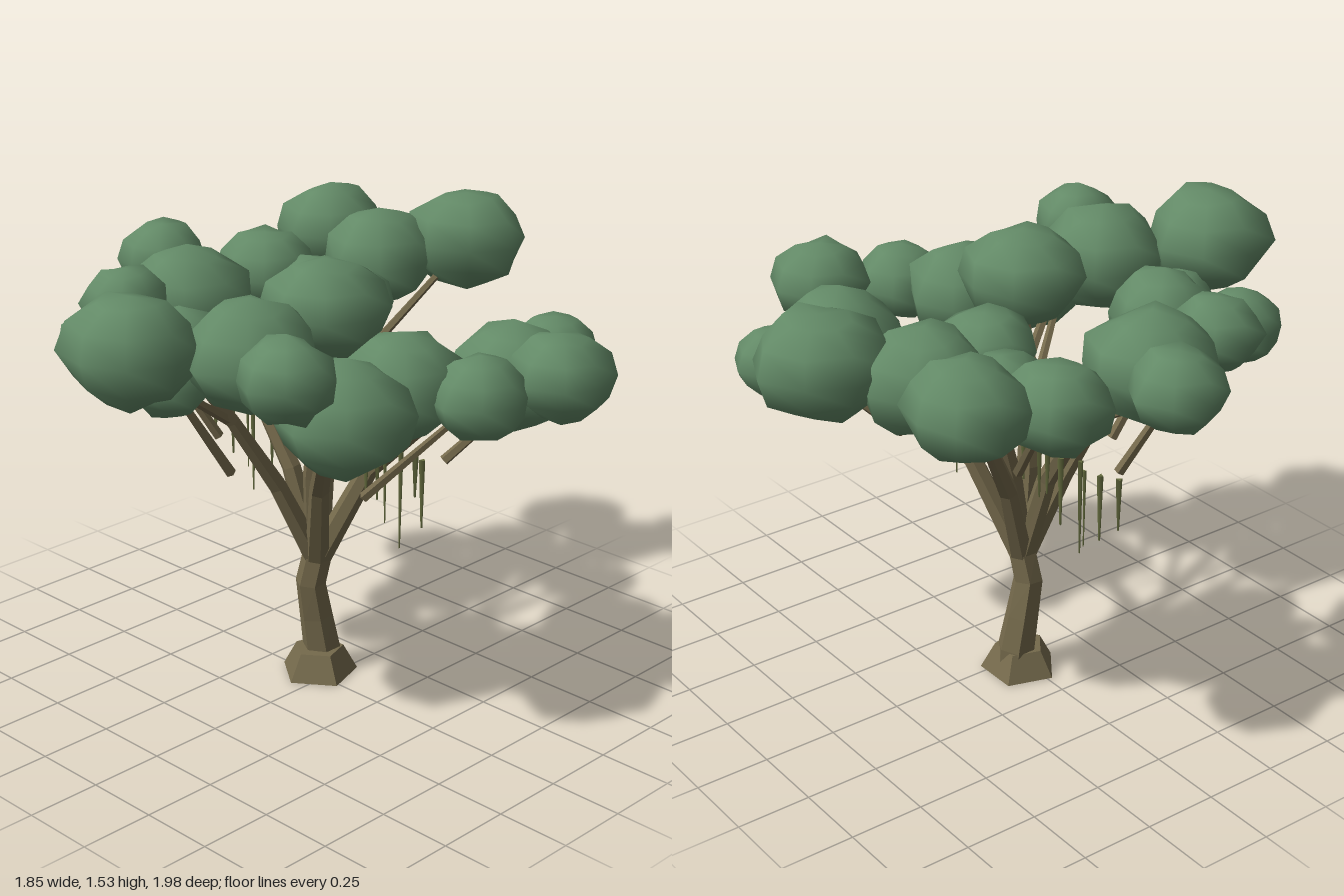
import * as THREE from 'three';
import { mergeVertices } from 'three/addons/utils/BufferGeometryUtils.js';

const mat = (name, color) => {
  const m = new THREE.MeshStandardMaterial({ color });
  m.name = name;
  return m;
};

// Small seeded generator for the uneven leaf clumps
function seeded(seed) {
  return () => {
    seed = (seed * 16807) % 2147483647;
    return seed / 2147483647;
  };
}

// Faceted tapering limb: rings[i] = [x, y, z, radius]
function limbGeometry(rings, sides = 6) {
  const centres = rings.map(r => new THREE.Vector3(r[0], r[1], r[2]));
  const up = new THREE.Vector3(0, 1, 0);
  const pos = [], index = [];
  rings.forEach((r, i) => {
    const a = centres[Math.max(i - 1, 0)], b = centres[Math.min(i + 1, rings.length - 1)];
    const q = new THREE.Quaternion().setFromUnitVectors(up, b.clone().sub(a).normalize());
    for (let s = 0; s < sides; s++) {
      const t = s / sides * Math.PI * 2;
      const p = new THREE.Vector3(Math.sin(t) * r[3], 0, Math.cos(t) * r[3]);
      p.applyQuaternion(q).add(centres[i]);
      pos.push(p.x, p.y, p.z);
    }
  });
  for (let i = 0; i < rings.length - 1; i++) {
    for (let s = 0; s < sides; s++) {
      const a = i * sides + s, b = i * sides + (s + 1) % sides;
      index.push(a, b, b + sides, a, b + sides, a + sides);
    }
  }
  const last = (rings.length - 1) * sides;
  for (let s = 1; s < sides - 1; s++) {
    index.push(0, s + 1, s, last, last + s, last + s + 1);
  }
  const g = new THREE.BufferGeometry();
  g.setAttribute('position', new THREE.Float32BufferAttribute(pos, 3));
  g.setIndex(index);
  const flat = g.toNonIndexed();
  flat.computeVertexNormals();
  return flat;
}

// Smooth eight-sided clump with uneven vertices
function clumpGeometry(r, ry, rand) {
  let g = new THREE.SphereGeometry(1, 8, 6);
  g.deleteAttribute('uv');
  g.deleteAttribute('normal');
  g = mergeVertices(g, 1e-3);
  const p = g.attributes.position;
  for (let i = 0; i < p.count; i++) {
    const k = 0.93 + rand() * 0.17;
    p.setXYZ(i, p.getX(i) * r * k, p.getY(i) * ry * k, p.getZ(i) * r * k);
  }
  g.computeVertexNormals();
  return g;
}

export function createModel() {
  const tree = new THREE.Group();
  tree.name = 'tree';
  const bark = mat('bark', 0x756a4c);
  const leaf = mat('leaf', 0x638a67);
  const vine = mat('vine', 0x646b3e);
  const add = (parent, name, geometry, material) => {
    const m = new THREE.Mesh(geometry, material);
    m.name = name;
    parent.add(m);
    return m;
  };
  const group = name => {
    const g = new THREE.Group();
    g.name = name;
    tree.add(g);
    return g;
  };

  // Five-sided root flare and crooked trunk
  const flare = new THREE.CylinderGeometry(0.085, 0.133, 0.09, 5).toNonIndexed();
  flare.computeVertexNormals();
  add(tree, 'rootFlare', flare, bark).position.set(-0.049, 0.053, -0.026);
  add(tree, 'trunk', limbGeometry([
    [-0.05, 0.01, -0.045, 0.07], [-0.055, 0.1, -0.045, 0.065], [-0.06, 0.22, -0.025, 0.058],
    [-0.06, 0.35, 0, 0.052], [-0.04, 0.45, -0.01, 0.05], [-0.035, 0.52, -0.01, 0.035],
  ]), bark);

  // Main boughs: two bend points, then the tip
  const boughs = group('boughs');
  const fork = [-0.04, 0.43, -0.01];
  const boughEnds = [
    [[0.1, 0.77, -0.11], [0.3, 1.0, -0.25], [0.49, 1.12, -0.35]],
    [[0.08, 0.75, 0.1], [0.24, 0.98, 0.23], [0.44, 1.13, 0.35]],
    [[-0.13, 0.75, 0.02], [-0.27, 1.0, 0.05], [-0.46, 1.22, 0.1]],
    [[-0.09, 0.72, 0.12], [-0.13, 0.98, 0.28], [-0.17, 1.2, 0.44]],
    [[-0.11, 0.74, -0.12], [-0.2, 0.98, -0.26], [-0.3, 1.24, -0.48]],
    [[-0.02, 0.75, 0.03], [0.03, 1.0, 0.06], [0.09, 1.3, 0.1]],
    [[-0.07, 0.76, -0.07], [-0.1, 1.0, -0.15], [-0.11, 1.2, -0.21]],
  ];
  for (const [a, b, c] of boughEnds) {
    add(boughs, 'bough', limbGeometry([
      [...fork, 0.042], [...a, 0.033], [...b, 0.025], [...c, 0.015],
    ]), bark);
  }

  // Thinner branches reaching the outer clumps
  const branches = group('branches');
  const branchEnds = [
    [[-0.35, 0.83, 0.14], [-0.48, 1.22, 0.34]],
    [[0.28, 0.785, 0.1], [0.62, 1.13, 0.05]],
    [[0.31, 0.82, -0.24], [0.48, 1.08, -0.5]],
    [[-0.12, 0.81, 0.3], [-0.16, 1.18, 0.53]],
    [[0.09, 0.89, 0.12], [0.3, 1.2, 0.42]],
    [[0.28, 0.99, -0.23], [0.74, 1.2, -0.25]],
    [[0.12, 0.8, 0.05], [0.44, 1.15, 0.09]],
    [[-0.25, 0.98, 0.05], [-0.75, 1.3, 0]],
    [[-0.19, 0.85, -0.14], [-0.56, 1.28, -0.29]],
    [[-0.2, 0.95, -0.25], [-0.56, 1.32, -0.6]],
    [[-0.19, 0.95, -0.26], [-0.11, 1.32, -0.76]],
    [[-0.14, 0.97, 0.27], [-0.02, 1.3, 0.75]],
    [[0.24, 0.98, 0.23], [0.42, 1.3, 0.56]],
    [[0.3, 1.0, -0.26], [0.43, 1.13, -0.6]],
  ];
  for (const [a, b] of branchEnds) {
    add(branches, 'branch', limbGeometry([[...a, 0.018], [...b, 0.011]], 5), bark);
  }

  // Leaf clumps: x, y, z, horizontal radius, vertical radius
  const canopy = group('canopy');
  const rand = seeded(77);
  const clumps = [
    [-0.095, 1.375, -0.79, 0.205, 0.168], [-0.57, 1.36, -0.61, 0.18, 0.15],
    [-0.275, 1.32, -0.545, 0.195, 0.16], [0.44, 1.14, -0.625, 0.14, 0.115],
    [0.49, 1.13, -0.355, 0.21, 0.17], [0.755, 1.22, -0.255, 0.165, 0.135],
    [0.655, 1.19, 0, 0.15, 0.13], [0.44, 1.2, 0.1, 0.19, 0.155],
    [0.1, 1.37, 0.095, 0.2, 0.155], [0.45, 1.17, 0.36, 0.205, 0.17],
    [0.43, 1.335, 0.585, 0.147, 0.13], [0.17, 1.32, 0.48, 0.21, 0.17],
    [-0.01, 1.37, 0.785, 0.207, 0.168], [-0.175, 1.23, 0.455, 0.175, 0.15],
    [-0.07, 1.21, 0.6, 0.125, 0.11], [-0.41, 1.25, 0.58, 0.135, 0.115],
    [-0.51, 1.31, 0.385, 0.14, 0.12], [-0.51, 1.27, 0.12, 0.215, 0.17],
    [-0.77, 1.325, 0, 0.15, 0.13], [-0.565, 1.27, -0.285, 0.17, 0.14],
    [-0.33, 1.22, -0.31, 0.16, 0.135], [-0.115, 1.27, -0.215, 0.16, 0.13],
    [-0.42, 1.2, 0.2, 0.14, 0.11],
  ];
  for (const [x, y, z, r, ry] of clumps) {
    add(canopy, 'leafClump', clumpGeometry(r, ry, rand), leaf).position.set(x, y, z);
  }

  // Hanging vines: x, z, length, top radius
  const vines = group('vines');
  const hanging = [
    [-0.52, 0, 0.18, 0.012], [-0.465, -0.03, 0.23, 0.012], [-0.41, -0.05, 0.27, 0.007],
    [-0.355, -0.02, 0.33, 0.01], [-0.3, -0.055, 0.24, 0.012], [-0.24, -0.065, 0.15, 0.012],
    [-0.17, -0.04, 0.2, 0.011], [-0.1, -0.05, 0.16, 0.011], [-0.02, -0.06, 0.17, 0.012],
    [0.19, 0, 0.2, 0.012], [0.25, 0.01, 0.18, 0.011], [0.285, 0.01, 0.25, 0.008],
    [0.33, -0.01, 0.33, 0.01], [0.385, -0.02, 0.14, 0.012], [0.425, -0.01, 0.23, 0.012],
  ];
  hanging.forEach(([x, z, len, r], i) => {
    const g = new THREE.CylinderGeometry(r, r * 0.3, len, 3).rotateY(i * 0.7);
    add(vines, 'vine', g, vine).position.set(x, 0.92 - len / 2, z);
  });

  return tree;
}
